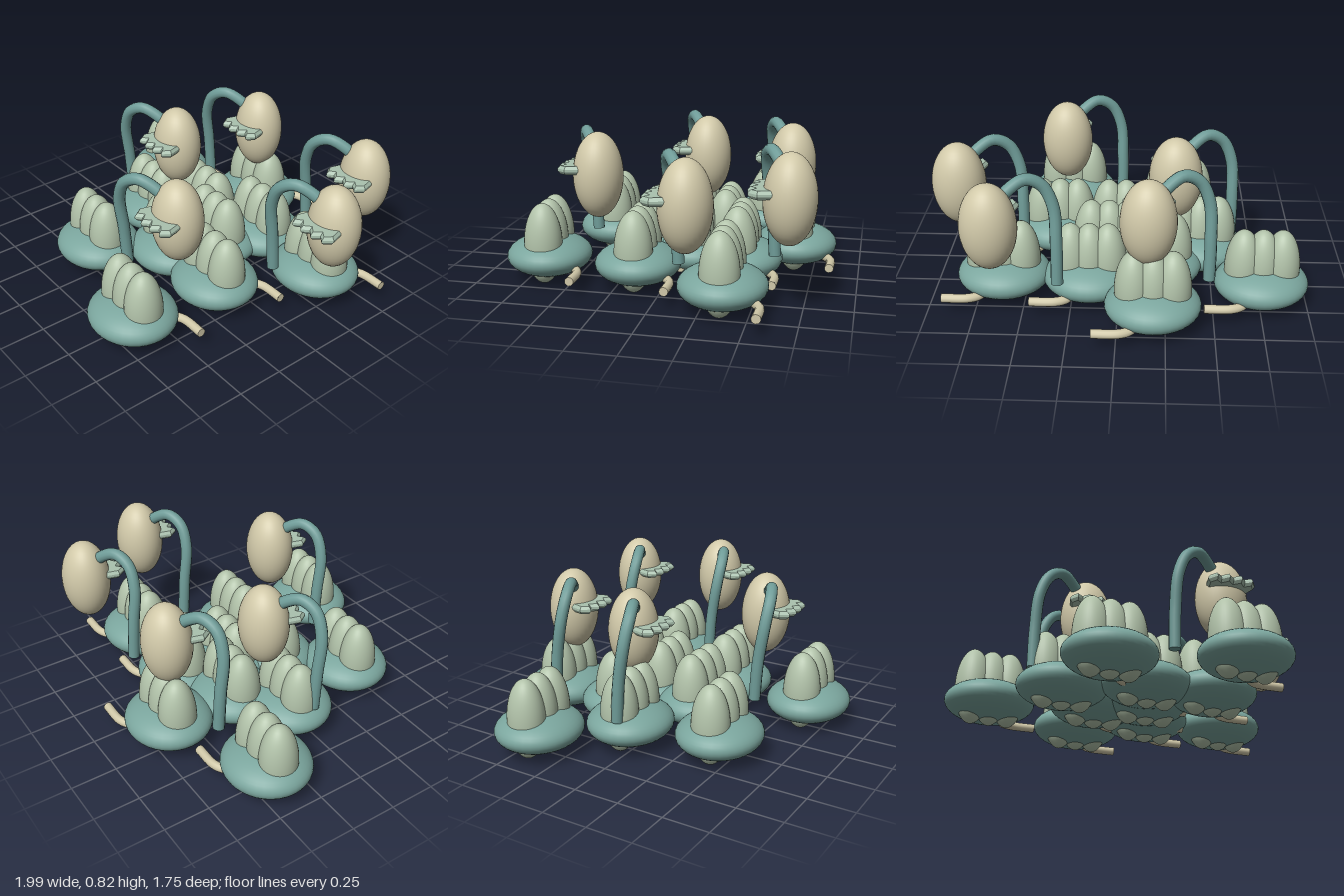
import * as THREE from 'three';

const mat = (name, color) => Object.assign(new THREE.MeshStandardMaterial({ color }), { name });

export function createModel() {
  const model = new THREE.Group();
  model.name = 'plantCluster';

  const teal = mat('teal', 0x7ba69e);
  const stemTeal = mat('stemTeal', 0x6f9c98);
  const sage = mat('sage', 0xb2c3aa);
  const frillGreen = mat('frillGreen', 0xaac2af);
  const sand = mat('sand', 0xd1c9a9);

  const add = (parent, name, geo, material, x = 0, y = 0, z = 0) => {
    const m = new THREE.Mesh(geo, material);
    m.name = name;
    m.position.set(x, y, z);
    parent.add(m);
    return m;
  };
  const ellipsoid = (rx, ry, rz) => new THREE.SphereGeometry(1, 36, 24).scale(rx, ry, rz);

  // Tube along a smooth path, closed by flat end discs
  const tube = (parent, name, points, r, material) => {
    const curve = new THREE.CatmullRomCurve3(points.map(p => new THREE.Vector3(...p)));
    add(parent, name, new THREE.TubeGeometry(curve, 36, r, 12), material);
    for (const t of [0, 1]) {
      const p = curve.getPointAt(t);
      const dir = curve.getTangentAt(t).multiplyScalar(t ? 1 : -1);
      const cap = add(parent, name + 'End', new THREE.CircleGeometry(r, 12), material, p.x, p.y, p.z);
      cap.quaternion.setFromUnitVectors(new THREE.Vector3(0, 0, 1), dir);
    }
  };

  // Low plants: cushion base, three lobes and a root at the back
  const cushion = ellipsoid(0.248, 0.108, 0.228);
  const lobe = ellipsoid(0.097, 0.22, 0.102);
  const plants = [
    [-0.752, -0.41], [-0.184, -0.643], [0.153, -0.376], [0.612, -0.36],
    [-0.195, -0.253], [0.06, -0.115], [-0.437, -0.05], [-0.024, 0.135],
    [0.353, 0.137], [-0.328, 0.43], [0.312, 0.643],
  ];
  for (const [x, z] of plants) {
    const plant = new THREE.Group();
    plant.name = 'lobedPlant';
    plant.position.set(x, 0, z);
    add(plant, 'cushion', cushion, teal, 0, 0.115, 0);
    for (const i of [-1, 0, 1]) add(plant, 'lobe', lobe, sage, i * 0.1, 0.2, 0);
    tube(plant, 'root', [
      [0.08, 0.08, -0.14], [0.115, 0.07, -0.18], [0.17, 0.07, -0.205], [0.305, 0.07, -0.207],
    ], 0.024, sand);
    model.add(plant);
  }

  // Frill: a flat scalloped shelf with bevelled edges
  const shape = new THREE.Shape();
  shape.moveTo(-0.1, 0.06);
  [[-0.122, 0.14], [-0.098, 0.175], [-0.066, 0.15], [-0.034, 0.185], [0, 0.155],
    [0.034, 0.185], [0.066, 0.15], [0.098, 0.175], [0.122, 0.14], [0.1, 0.06]]
    .forEach(([x, z]) => shape.lineTo(x, z));
  const frill = new THREE.ExtrudeGeometry(shape, {
    depth: 0.012, bevelEnabled: true, bevelThickness: 0.016, bevelSize: 0.011, bevelSegments: 1,
  }).translate(0, 0, -0.006).rotateX(Math.PI / 2);

  // Hanging pods, each on a hooked stem
  const pod = ellipsoid(0.143, 0.228, 0.132);
  const pods = [[-0.157, -0.612], [0.622, -0.68], [0.848, -0.22], [-0.296, -0.115], [0.323, 0.357]];
  for (const [x, z] of pods) {
    const flower = new THREE.Group();
    flower.name = 'hangingPod';
    flower.position.set(x, 0, z);
    add(flower, 'pod', pod, sand, 0, 0.57, 0);
    add(flower, 'frill', frill, frillGreen, 0, 0.61, 0);
    tube(flower, 'stem', [
      [-0.315, 0.185, 0.1], [-0.316, 0.4, 0.115], [-0.304, 0.61, 0.143], [-0.25, 0.728, 0.143],
      [-0.17, 0.77, 0.112], [-0.095, 0.735, 0.066], [-0.04, 0.68, 0.03],
    ], 0.032, stemTeal);
    model.add(flower);
  }
  return model;
}
